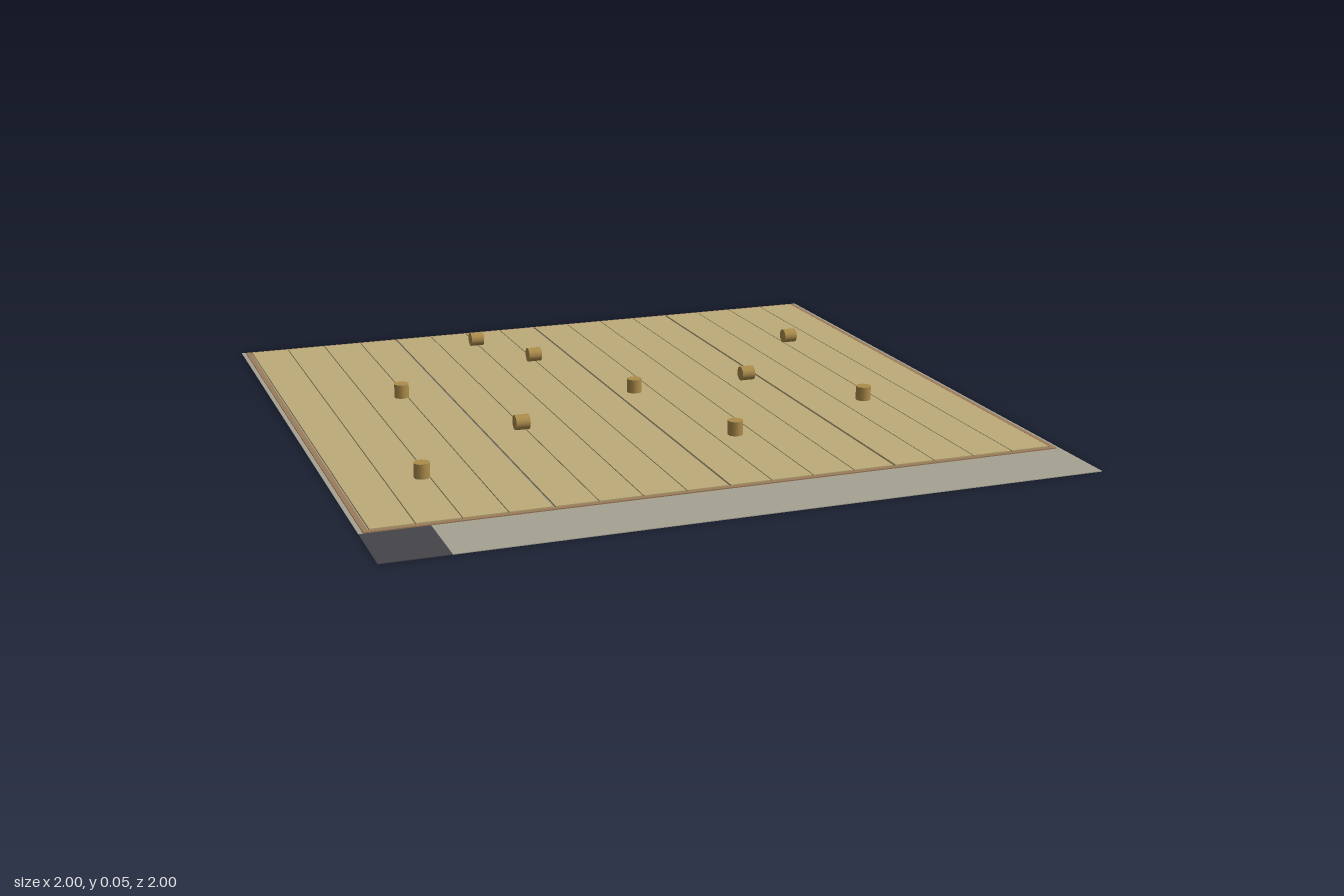
import * as THREE from 'three';

const mat = (name, color) => {
  const m = new THREE.MeshStandardMaterial({ color });
  m.name = name;
  return m;
};

export function createModel() {
  const model = new THREE.Group();
  const plankWood = mat('plank wood', 0xbcab79);
  const frameWood = mat('frame wood', 0x9c7c5a);
  const pegWood = mat('peg wood', 0xad8d4c);
  const stone = mat('grey ground', 0xa6a293);
  const dark = mat('dark corner', 0x45444a);

  // Box given by its lower and upper corners
  const slab = (name, material, x0, x1, y0, y1, z0, z1, parent = model) => {
    const mesh = new THREE.Mesh(new THREE.BoxGeometry(x1 - x0, y1 - y0, z1 - z0), material);
    mesh.position.set((x0 + x1) / 2, (y0 + y1) / 2, (z0 + z1) / 2);
    mesh.name = name;
    parent.add(mesh);
  };

  // Ground sheet with a dark square filling its front right corner
  const front = 0.79, corner = -0.815;
  slab('ground', stone, -1, 1, 0, 0.002, -1, front);
  slab('frontStrip', stone, corner, 1, 0, 0.002, front, 1);
  slab('cornerSquare', dark, -1, corner, 0, 0.002, front, 1);

  // Low frame around the deck
  const frame = new THREE.Group();
  frame.name = 'frame';
  model.add(frame);
  const back = -0.988, side = 0.988, w = 0.014;
  slab('frameBack', frameWood, -side, side, 0.002, 0.005, back, back + w, frame);
  slab('frameFront', frameWood, -side, side, 0.002, 0.005, front - w, front, frame);
  for (const s of [-1, 1]) {
    const mid = s * (side - w / 2);
    slab(s < 0 ? 'frameRight' : 'frameLeft', frameWood,
      mid - w / 2, mid + w / 2, 0.002, 0.005, back + w, front - w, frame);
  }

  // Sixteen planks, with a wider joint after every fourth one
  const deck = new THREE.Group();
  deck.name = 'deck';
  model.add(deck);
  const pitch = 0.1217;
  for (let i = 0; i < 16; i++) {
    const x = (i - 8) * pitch;
    const left = i % 4 === 0 ? 0.004 : 0.0015;
    const right = i % 4 === 3 ? 0.004 : 0.0015;
    slab('plank', plankWood, x + left, x + pitch - right, 0.002, 0.0075, back + w, front - w, deck);
  }

  // Short round pegs: five standing, five lying along x
  const pegs = new THREE.Group();
  pegs.name = 'pegs';
  model.add(pegs);
  const r = 0.0225, length = 0.042;
  const pegGeometry = new THREE.CylinderGeometry(r, r, length, 12);
  const addPeg = (name, x, z, lying) => {
    const peg = new THREE.Mesh(pegGeometry, pegWood);
    peg.name = name;
    if (lying) peg.rotation.z = Math.PI / 2;
    peg.position.set(x, 0.0075 + (lying ? r : length / 2), z);
    pegs.add(peg);
  };
  [[-0.625, -0.313], [0.06, -0.125], [0.685, 0.187], [0.185, 0.375], [-0.75, 0.437]]
    .forEach(([x, z]) => addPeg('standingPeg', x, z, false));
  [[-0.25, -0.813], [-0.127, -0.563], [0.748, -0.5], [0.435, -0.127], [-0.377, 0.125]]
    .forEach(([x, z]) => addPeg('lyingPeg', x, z, true));

  return model;
}
